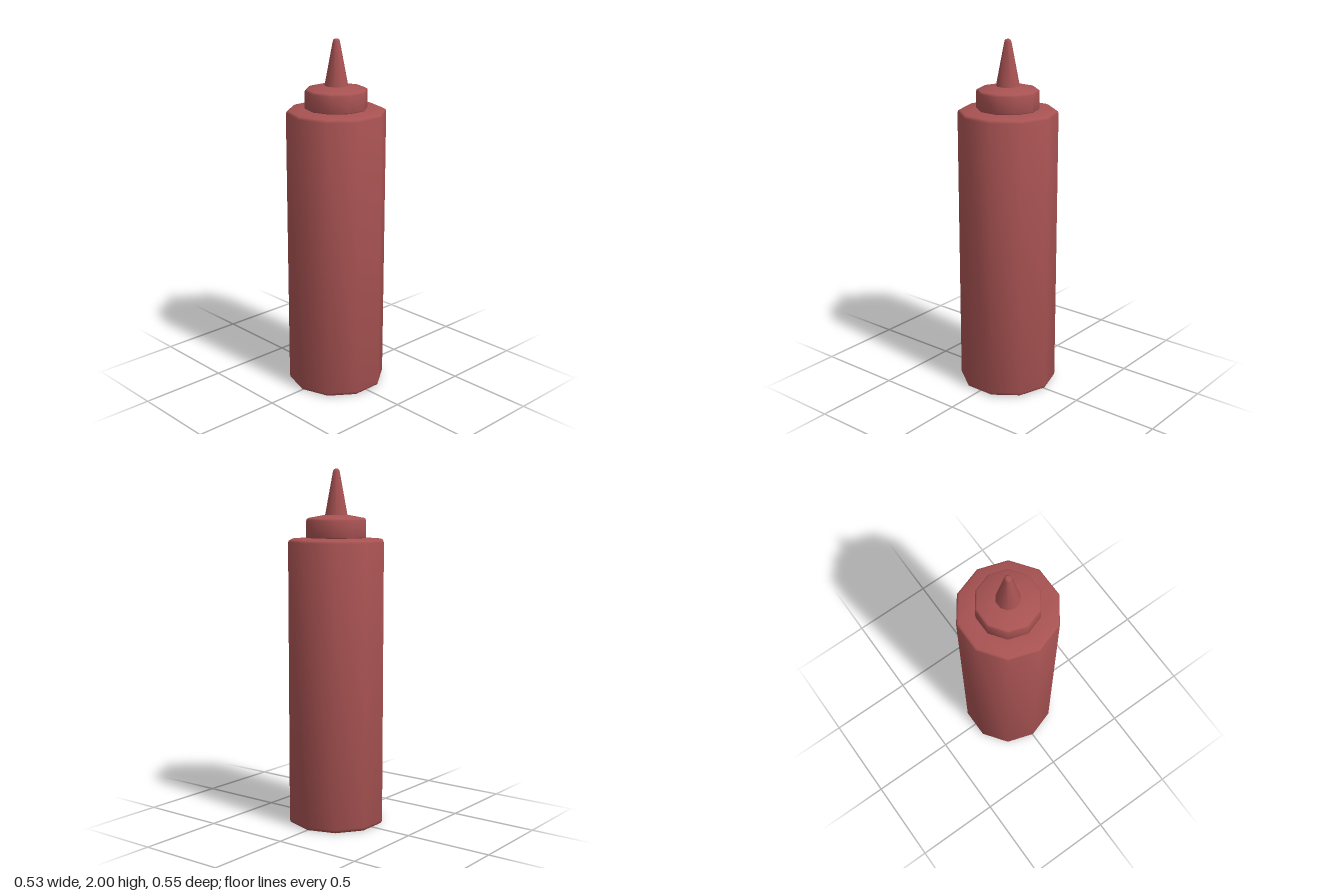
import * as THREE from 'three';
import { toCreasedNormals } from 'three/addons/utils/BufferGeometryUtils.js';

const SIDES = 10;

export function createModel() {
  const group = new THREE.Group();
  group.name = 'squeezeBottle';
  const material = new THREE.MeshStandardMaterial({ color: 0xa85252 });

  // Ten-sided turned part from a bottom-to-top profile of [radius, height]
  function turned(name, profile) {
    const points = profile.map(([r, y]) => new THREE.Vector2(r, y));
    const geometry = toCreasedNormals(new THREE.LatheGeometry(points, SIDES), 0.72);
    const mesh = new THREE.Mesh(geometry, material);
    mesh.name = name;
    group.add(mesh);
  }

  // Bottle with bevelled foot and shallow sloping shoulder
  turned('body', [
    [0, 0], [0.264, 0], [0.273, 0.007], [0.277, 0.02],
    [0.277, 1.598], [0.273, 1.609], [0.262, 1.615], [0.17, 1.622], [0, 1.622],
  ]);

  // Screw cap with a gently coned top
  turned('cap', [
    [0, 1.618], [0.168, 1.618], [0.174, 1.626],
    [0.173, 1.718], [0.17, 1.726], [0.162, 1.731], [0.066, 1.748], [0, 1.748],
  ]);

  // Tapered nozzle with a rounded tip
  turned('nozzle', [
    [0, 1.742], [0.066, 1.742], [0.02, 1.983], [0.017, 1.994], [0.01, 2], [0, 2],
  ]);

  return group;
}
